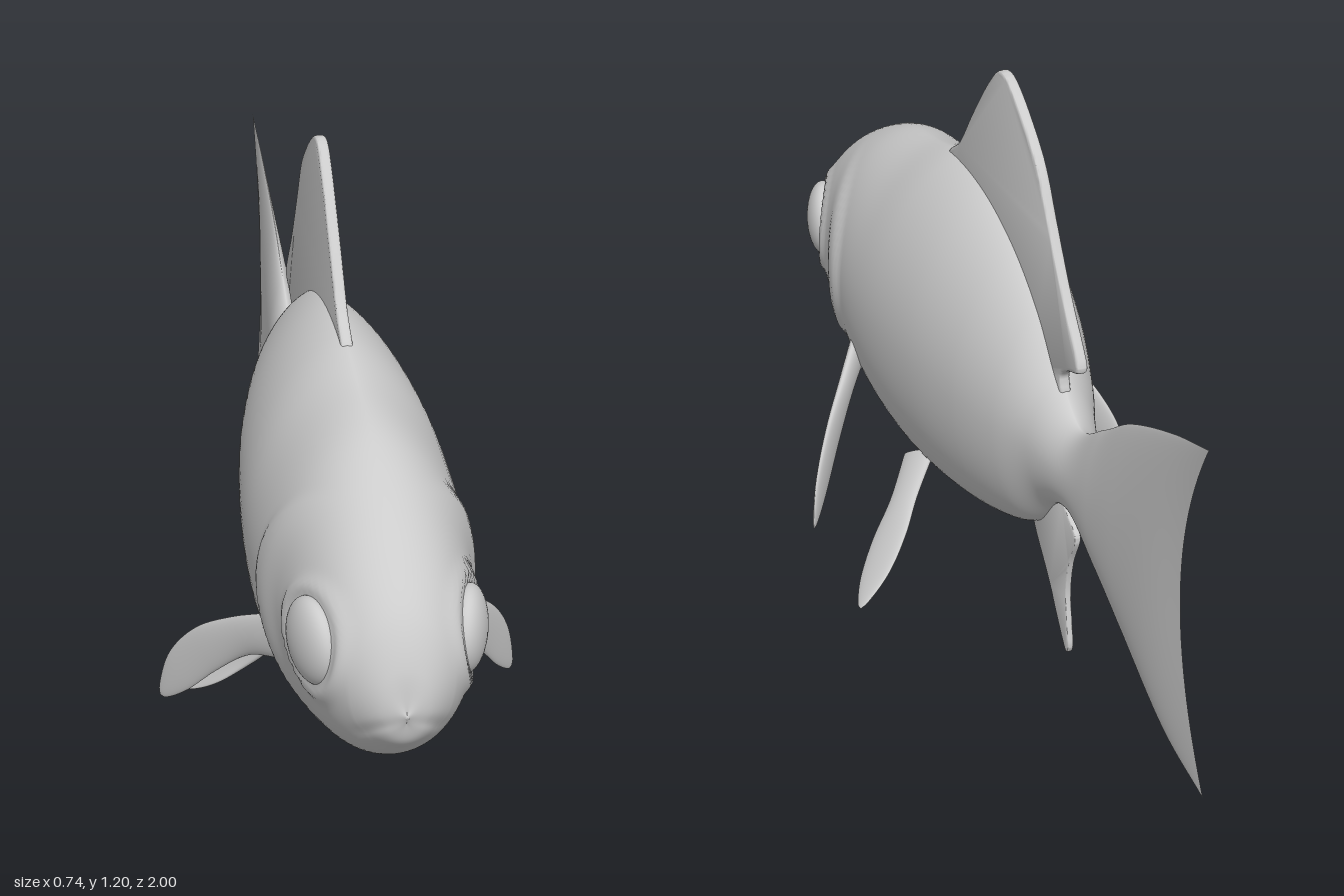
import * as THREE from 'three';
import { toCreasedNormals } from 'three/addons/utils/BufferGeometryUtils.js';

const material = new THREE.MeshStandardMaterial({ color: 0xcccccc, side: THREE.DoubleSide });
const V = (x, y, z) => new THREE.Vector3(x, y, z);
const smooth = THREE.MathUtils.smoothstep;
const bell = (d, width) => Math.exp(-((d / width) ** 2));

function part(name, geometry) {
  const mesh = new THREE.Mesh(geometry, material);
  mesh.name = name;
  return mesh;
}

// Closed rings of points joined into a smooth skin; pointAt(u, angle), u from 0 to 1.
function loft(pointAt, rows, sides) {
  const positions = [], index = [];
  for (let i = 0; i <= rows; i++) {
    for (let j = 0; j < sides; j++) {
      positions.push(...pointAt(i / rows, (j / sides) * Math.PI * 2).toArray());
      if (i === rows) continue;
      const k = (j + 1) % sides;
      const a = i * sides + j, b = a + sides, c = (i + 1) * sides + k, d = i * sides + k;
      index.push(a, b, c, a, c, d);
    }
  }
  const geometry = new THREE.BufferGeometry();
  geometry.setAttribute('position', new THREE.Float32BufferAttribute(positions, 3));
  geometry.setIndex(index);
  geometry.computeVertexNormals();
  return geometry;
}

// Body and tail: top z, top y, bottom z, bottom y, middle z, half width
const sections = [
  [0.995, 0.475, 0.995, 0.465, 1.0, 0],
  [0.98, 0.56, 0.98, 0.41, 0.985, 0.05],
  [0.94, 0.64, 0.94, 0.37, 0.945, 0.1],
  [0.88, 0.7, 0.88, 0.32, 0.88, 0.14],
  [0.78, 0.77, 0.78, 0.265, 0.78, 0.168],
  [0.62, 0.845, 0.62, 0.21, 0.62, 0.195],
  [0.46, 0.882, 0.46, 0.175, 0.46, 0.208],
  [0.3, 0.915, 0.3, 0.163, 0.3, 0.205],
  [0.12, 0.91, 0.12, 0.185, 0.12, 0.185],
  [-0.05, 0.86, -0.05, 0.23, -0.05, 0.15],
  [-0.18, 0.78, -0.18, 0.29, -0.18, 0.112],
  [-0.28, 0.68, -0.28, 0.39, -0.28, 0.075],
  [-0.38, 0.62, -0.38, 0.42, -0.38, 0.047],
  [-0.5, 0.685, -0.5, 0.352, -0.49, 0.036],
  [-0.62, 0.765, -0.62, 0.285, -0.6, 0.028],
  [-0.82, 0.855, -0.82, 0.19, -0.75, 0.016],
  [-0.97, 0.905, -1.0, 0.16, -0.87, 0],
];

function bodyGeometry() {
  const upper = new THREE.CatmullRomCurve3(sections.map((s) => V(s[5], s[1], s[0])));
  const lower = new THREE.CatmullRomCurve3(sections.map((s) => V(s[4], s[3], s[2])));
  return loft((u, angle) => {
    const top = upper.getPoint(u), low = lower.getPoint(u);
    const c = Math.cos(angle), s = Math.sin(angle);
    const y = (top.y + low.y) / 2 + ((top.y - low.y) / 2) * s;
    // The rear edge of the tail is notched, so z bends with height
    const z = low.x * (1 - s * s) + (top.z * (s * s + s)) / 2 + (low.z * (s * s - s)) / 2;
    // The back narrows to a ridge behind the head
    const power = s > 0 ? 1 + 0.35 * (1 - smooth(z, 0.4, 0.75)) : 1;
    let x = Math.max(0, top.x) * Math.abs(c) ** power;
    if (z > 0.4) {
      const eye = Math.hypot(z - 0.825, y - 0.545);
      const gill = Math.hypot(z - 0.8, y - 0.54);
      const relief = 0.01 * bell(eye - 0.102, 0.014)
        + 0.011 * smooth(gill, 0.13, 0.22) * (1 - smooth(gill, 0.24, 0.275)) * (1 - smooth(z, 0.6, 0.75))
        - 0.007 * bell(y - 0.46 + (1 - z) * 0.8, 0.012) * smooth(z, 0.9, 0.95);
      x += relief * Math.abs(c);
    }
    return V(x * Math.sign(c), y, z);
  }, 224, 96);
}

// Flat fin on the centre line from a (z, y) outline
function flatFin(outline, halfThickness) {
  const curve = new THREE.CatmullRomCurve3(outline.map(([z, y]) => V(z, y, 0)), true);
  const bevel = halfThickness * 0.7, depth = 2 * (halfThickness - bevel);
  const geometry = new THREE.ExtrudeGeometry(new THREE.Shape(curve.getPoints(110).slice(0, -1)), {
    depth, bevelThickness: bevel, bevelSize: bevel, bevelOffset: -bevel, bevelSegments: 4,
  });
  geometry.translate(0, 0, -depth / 2).rotateY(-Math.PI / 2);
  return toCreasedNormals(geometry, 0.7);
}

// Paired fin: centre path of [x, y, z, half width], chord direction, half thickness
function pairedFin(path, chord, thickness, side) {
  const curve = new THREE.CatmullRomCurve3(path.map(([x, y, z]) => V(x * side, y, z)));
  const widths = new THREE.CatmullRomCurve3(path.map((p, i) => V(i, p[3], 0)));
  const across = V(chord[0] * side, chord[1], chord[2]).normalize();
  return loft((u, angle) => {
    const normal = across.clone().cross(curve.getTangent(u)).normalize();
    const taper = Math.sqrt(Math.max(0, 1 - u ** 8));
    return curve.getPoint(u)
      .addScaledVector(across, Math.cos(angle) * widths.getPoint(u).y * taper)
      .addScaledVector(normal, Math.sin(angle) * thickness * (1.3 - 0.8 * u) * taper);
  }, 40, 28);
}

const dorsalOutline = [
  [0.35, 0.895], [0.28, 0.955], [0.2, 1.055], [0.1, 1.17], [0.05, 1.212], [0.02, 1.218],
  [-0.03, 1.2], [-0.14, 1.12], [-0.175, 1.08], [-0.22, 1.005], [-0.3, 0.88], [-0.385, 0.765],
  [-0.385, 0.75], [-0.32, 0.72], [-0.295, 0.695], [-0.3, 0.65], [-0.22, 0.6], [0, 0.72], [0.25, 0.82],
];
const analOutline = [
  [-0.13, 0.3], [-0.15, 0.26], [-0.235, 0.17], [-0.28, 0.11], [-0.33, 0.057], [-0.34, 0.07], [-0.335, 0.12],
  [-0.325, 0.2], [-0.34, 0.28], [-0.373, 0.355], [-0.365, 0.372], [-0.3, 0.41], [-0.26, 0.46], [-0.18, 0.4],
];
const pectoralPath = [
  [0.17, 0.375, 0.51, 0.05], [0.225, 0.335, 0.43, 0.042], [0.285, 0.265, 0.35, 0.048],
  [0.335, 0.18, 0.285, 0.045], [0.37, 0.1, 0.24, 0.025],
];
const pelvicPath = [
  [0.12, 0.235, 0.25, 0.045], [0.175, 0.16, 0.2, 0.04], [0.225, 0.105, 0.15, 0.05],
  [0.28, 0.055, 0.09, 0.046], [0.335, 0.015, 0.03, 0.025],
];

export function createModel() {
  const fish = new THREE.Group();
  fish.name = 'fish';
  fish.add(part('bodyAndTail', bodyGeometry()));
  fish.add(part('dorsalFin', flatFin(dorsalOutline, 0.012)));
  fish.add(part('analFin', flatFin(analOutline, 0.007)));

  for (const side of [1, -1]) {
    const prefix = side > 0 ? 'left' : 'right';
    fish.add(part(prefix + 'PectoralFin', pairedFin(pectoralPath, [0.37, 0.76, -0.52], 0.013, side)));
    fish.add(part(prefix + 'PelvicFin', pairedFin(pelvicPath, [0.5, -0.45, 0.73], 0.011, side)));

    // Domed eye turned slightly forward
    const eye = part(prefix + 'Eye', new THREE.SphereGeometry(1, 40, 28));
    eye.scale.set(0.082, 0.085, 0.038);
    eye.position.set(0.145 * side, 0.545, 0.825);
    eye.rotation.y = side * 1.27;
    fish.add(eye);
  }
  return fish;
}
